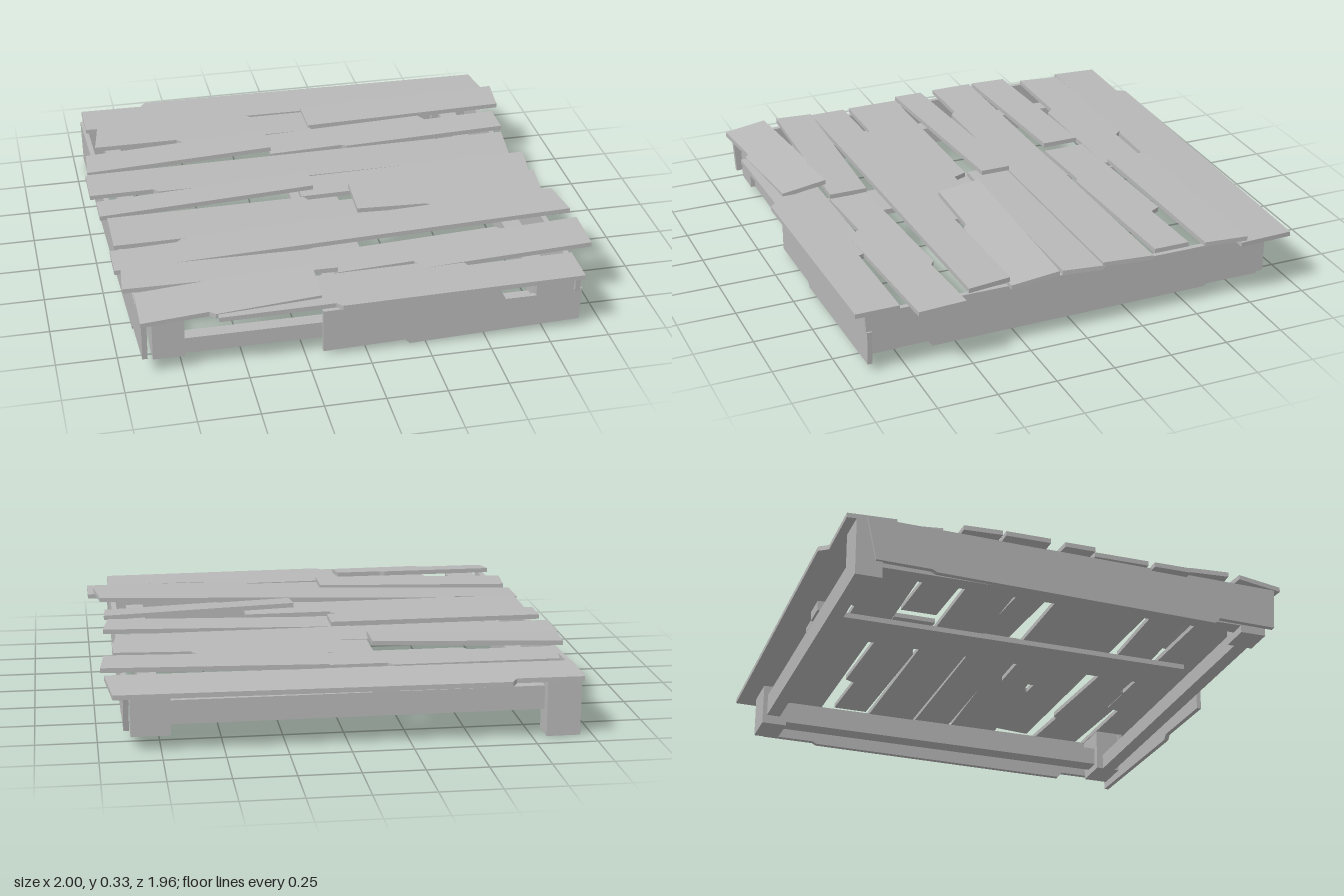
import * as THREE from 'three';

const wood = new THREE.MeshStandardMaterial({ color: 0xb8b8b8 });
wood.name = 'weatheredGrey';

function add(group, name, geometry) {
  const mesh = new THREE.Mesh(geometry, wood);
  mesh.name = name;
  group.add(mesh);
  return mesh;
}

// flat board cut from an outline, extruded along z
function board(points, thickness) {
  const shape = new THREE.Shape(points.map(([x, y]) => new THREE.Vector2(x, y)));
  return new THREE.ExtrudeGeometry(shape, { depth: thickness, bevelEnabled: false });
}

// Deck plank: a strip that is turned, sloped and leaning at its outer end.
// A chip [x, step] moves the rest of that edge sideways from x onward.
function plank({ span: [left, right], edges: [back, front], y, turn = 0, lean = 0,
  slopeX = 0, slopeZ = 0, backChip, frontChip }) {
  const edge = (z, chip, start, end) => {
    const at = (x, step) => [x, z + turn * (x - left) / (right - left) + step];
    if (!chip) return [at(start, 0), at(end, 0)];
    const [x, step] = chip;
    return [at(start, 0), at(x - 0.012, 0), at(x + 0.012, step), at(end, step)];
  };
  const leanLeft = right < 0.3 ? lean : 0;
  const leanRight = lean - leanLeft;
  const outline = [
    ...edge(back, backChip, left, right),
    ...edge(front, frontChip, left + leanLeft, right + leanRight).reverse(),
  ];
  const geometry = board(outline.map(([x, z]) => [x, -z]), 0.02).rotateX(-Math.PI / 2);
  const p = geometry.attributes.position;
  const midZ = (back + front + turn) / 2;
  for (let i = 0; i < p.count; i++) {
    p.setY(i, p.getY(i) + y + slopeX * p.getX(i) + slopeZ * (p.getZ(i) - midZ));
  }
  geometry.computeVertexNormals();
  return geometry;
}

// axis-aligned beam between two corners
function beam(group, name, [x0, y0, z0], [x1, y1, z1]) {
  add(group, name, new THREE.BoxGeometry(x1 - x0, y1 - y0, z1 - z0)
    .translate((x0 + x1) / 2, (y0 + y1) / 2, (z0 + z1) / 2));
}

// deck planks from back to front
const planks = [
  { span: [-0.95, 0.94], edges: [-0.95, -0.745], y: 0.245, turn: 0.03, lean: 0.025, slopeZ: 0.04, backChip: [-0.66, -0.04] },
  { span: [-0.9, 0.065], edges: [-0.735, -0.55], y: 0.255, lean: -0.03, backChip: [-0.2, 0.03], frontChip: [-0.545, 0.03] },
  { span: [0.055, 0.98], edges: [-0.73, -0.545], y: 0.265, lean: -0.02, slopeX: 0.02 },
  { span: [-0.98, -0.16], edges: [-0.48, -0.32], y: 0.295, turn: -0.01, lean: -0.01, slopeX: 0.04 },
  { span: [-0.16, 0.92], edges: [-0.52, -0.335], y: 0.255, turn: -0.015, slopeX: 0.025, backChip: [0.585, 0.045], frontChip: [0.18, 0.015] },
  { span: [-1, 0.92], edges: [-0.31, -0.12], y: 0.25, turn: -0.02, lean: -0.025, frontChip: [-0.71, 0.025] },
  { span: [-0.98, -0.04], edges: [-0.05, 0.08], y: 0.272, turn: -0.055, slopeX: 0.015 },
  { span: [-0.1, 0.95], edges: [-0.1, 0.07], y: 0.25, turn: 0.01, lean: -0.025, slopeX: 0.02 },
  { span: [-0.95, 0.31], edges: [0.09, 0.325], y: 0.252, turn: -0.01, backChip: [-0.08, 0.06] },
  { span: [0.1, 0.94], edges: [0.1, 0.285], y: 0.3, lean: -0.01, slopeX: -0.035, slopeZ: -0.13, frontChip: [0.42, 0.02] },
  { span: [-0.97, 0.95], edges: [0.345, 0.505], y: 0.273, lean: 0.025, slopeX: 0.033, backChip: [-0.675, -0.025] },
  { span: [-0.945, -0.08], edges: [0.515, 0.68], y: 0.272, turn: 0.035, lean: -0.015, slopeX: 0.015 },
  { span: [-0.09, 1], edges: [0.555, 0.715], y: 0.252, turn: -0.05, slopeX: 0.015, slopeZ: -0.04, backChip: [0.65, 0.02], frontChip: [0.255, 0.06] },
  { span: [-0.61, 0.9], edges: [0.735, 0.955], y: 0.25, turn: -0.03, backChip: [0.44, 0.06], frontChip: [-0.125, 0.025] },
  { span: [-0.92, -0.185], edges: [0.75, 0.935], y: 0.276, turn: -0.06, slopeX: 0.008, slopeZ: -0.15, backChip: [-0.4, 0.01], frontChip: [-0.63, 0.02] },
];

export function createModel() {
  const model = new THREE.Group();
  model.name = 'woodenPlatform';

  const deck = new THREE.Group();
  deck.name = 'deck';
  planks.forEach((p, i) => add(deck, `deckPlank${i + 1}`, plank(p)));

  // corner posts; the back right one reaches the ground
  const frame = new THREE.Group();
  frame.name = 'frame';
  beam(frame, 'backRightPost', [-0.95, 0, -0.91], [-0.81, 0.25, -0.8]);
  beam(frame, 'backLeftPost', [0.71, 0.06, -0.88], [0.87, 0.25, -0.77]);
  beam(frame, 'frontRightPost', [-0.87, 0.06, 0.77], [-0.74, 0.25, 0.88]);
  beam(frame, 'frontLeftPost', [0.71, 0.06, 0.77], [0.87, 0.25, 0.88]);

  // rails between the posts and the centre beam
  beam(frame, 'frontRail', [-0.74, 0.06, 0.8], [0.71, 0.13, 0.86]);
  beam(frame, 'backRail', [-0.81, 0.1, -0.86], [0.71, 0.2, -0.8]);
  beam(frame, 'rightRail', [-0.87, 0.09, -0.8], [-0.8, 0.17, 0.77]);
  beam(frame, 'leftRail', [0.74, 0.09, -0.77], [0.82, 0.17, 0.77]);
  beam(frame, 'centreBeam', [-0.14, 0.222, -0.85], [0.06, 0.245, 0.85]);
  beam(frame, 'centreBlock', [-0.21, 0.2, -0.87], [-0.1, 0.25, -0.79]);

  // broken skirt boards on the front and both sides
  const skirts = new THREE.Group();
  skirts.name = 'skirtBoards';
  add(skirts, 'frontSkirt', board([
    [-0.18, 0.02], [0.16, 0.03], [0.18, 0.01], [0.9, 0.035], [0.905, 0.18], [0.87, 0.18], [0.87, 0.25],
    [0.71, 0.25], [0.71, 0.17], [0.58, 0.17], [0.55, 0.22], [-0.18, 0.21],
  ], 0.02)).position.z = 0.885;
  const side = [
    [0.91, 0.255], [0.9, 0.08], [0.65, 0.08], [0.63, 0.055], [-0.58, 0.06], [-0.6, 0.07], [-0.83, 0.07], [-0.87, 0.25],
  ];
  add(skirts, 'leftSkirt', board(side, 0.022).rotateY(-Math.PI / 2)).position.x = 0.897;
  const right = add(skirts, 'rightSkirt', board(side, 0.022).rotateY(-Math.PI / 2));
  right.position.x = -0.918;
  right.rotation.y = 0.028;

  model.add(deck, frame, skirts);
  return model;
}
